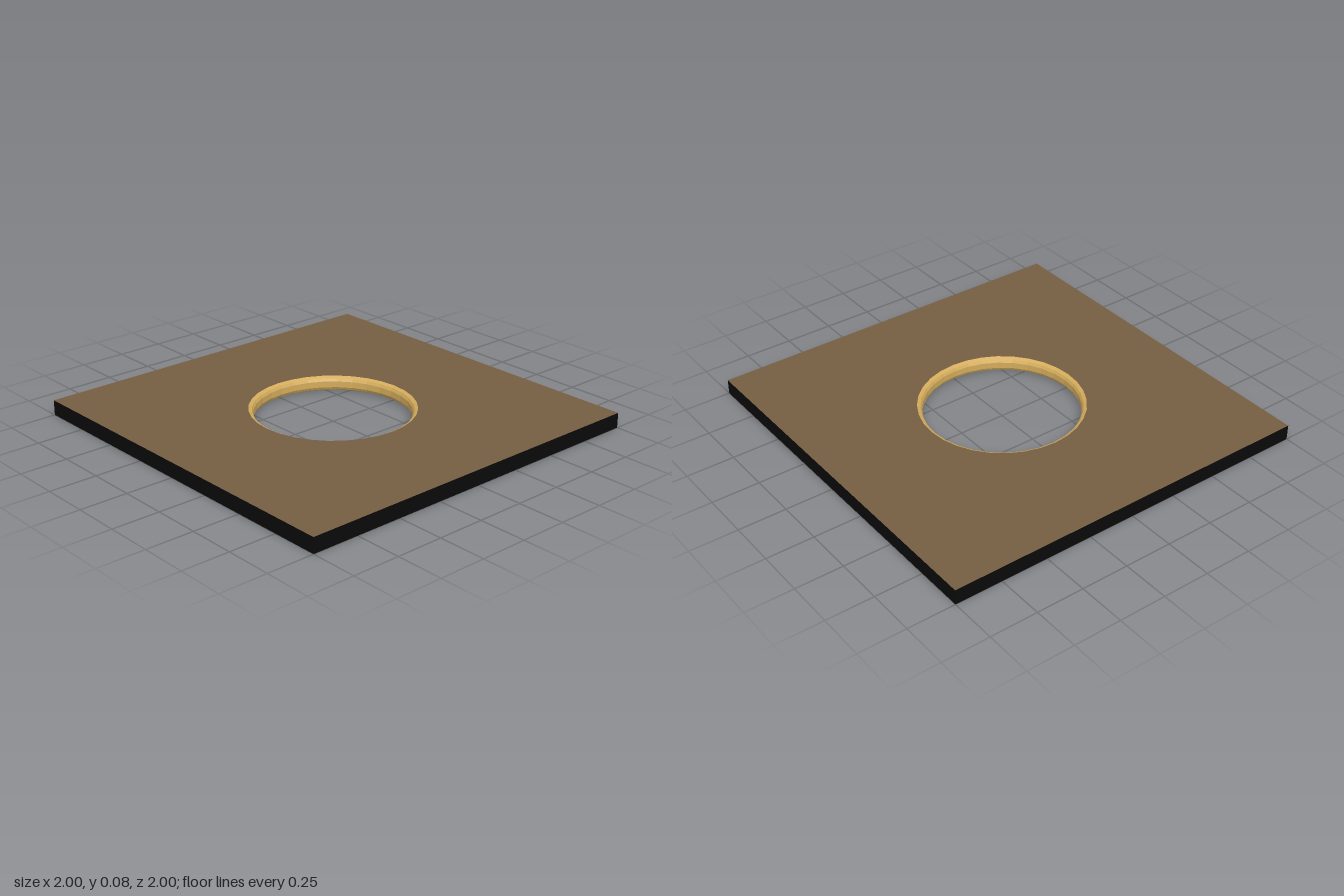
import * as THREE from 'three';

const HEIGHT = 0.08;
const HOLE = 0.425; // opening at the faces
const BORE = 0.4;   // narrowest radius
const SIDES = 32;

export function createModel() {
  const model = new THREE.Group();
  const brown = new THREE.MeshStandardMaterial({ color: 0x755e43 });
  const black = new THREE.MeshStandardMaterial({ color: 0x0a0a0a });
  const gold = new THREE.MeshStandardMaterial({
    color: 0xd4ac5c, flatShading: true, side: THREE.DoubleSide,
  });

  // Square plate with a round opening
  const outline = new THREE.Shape([
    new THREE.Vector2(-1, -1), new THREE.Vector2(1, -1),
    new THREE.Vector2(1, 1), new THREE.Vector2(-1, 1),
  ]);
  outline.holes.push(new THREE.Path().absarc(0, 0, HOLE, 0, Math.PI * 2, true));
  const plateGeometry = new THREE.ExtrudeGeometry(outline, {
    depth: HEIGHT, bevelEnabled: false, curveSegments: SIDES / 2,
  });
  plateGeometry.rotateX(-Math.PI / 2);

  // The caps come first, bottom then top: only the top is brown
  const half = plateGeometry.groups[0].count / 2;
  plateGeometry.clearGroups();
  plateGeometry.addGroup(0, half, 0);
  plateGeometry.addGroup(half, half, 1);
  plateGeometry.addGroup(half * 2, Infinity, 0);
  const plate = new THREE.Mesh(plateGeometry, [black, brown]);
  plate.name = 'plate';
  model.add(plate);

  // Gold lining of the opening, eased at both rims
  const profile = [
    [HOLE, HEIGHT], [0.408, 0.071], [BORE, 0.056],
    [BORE, 0.024], [0.408, 0.009], [HOLE, 0],
  ].map(([r, y]) => new THREE.Vector2(r, y));
  const lining = new THREE.Mesh(new THREE.LatheGeometry(profile, SIDES), gold);
  lining.name = 'holeLining';
  model.add(lining);

  return model;
}
